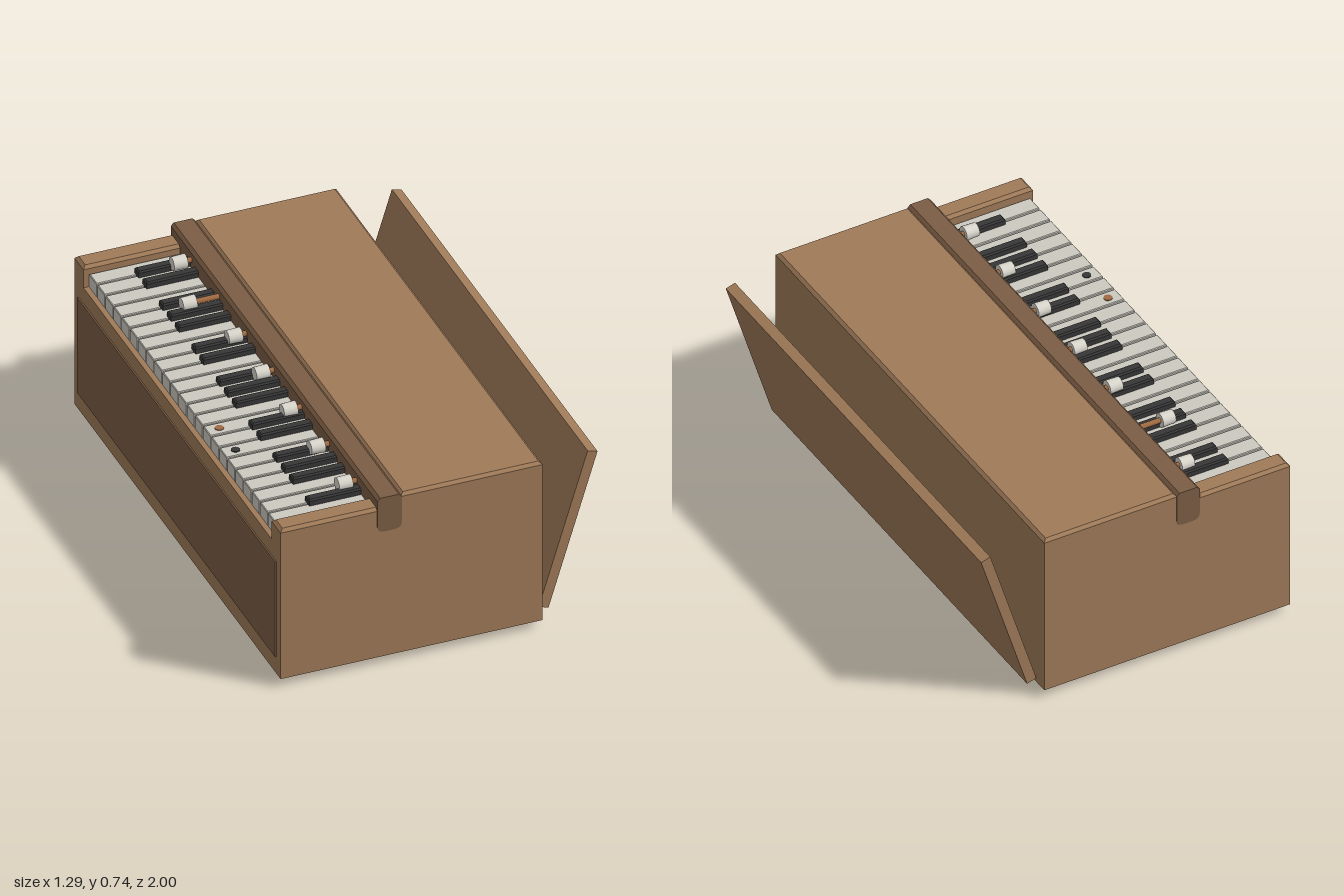
import * as THREE from 'three';

const paint = (name, color) => {
  const m = new THREE.MeshStandardMaterial({ color });
  m.name = name;
  return m;
};

export function createModel() {
  const wood = paint('wood', 0x9f7a58);
  const darkWood = paint('dark wood', 0x7b5d44);
  const ivory = paint('ivory', 0xcbc9bf);
  const ebony = paint('ebony', 0x363636);
  const knobWhite = paint('knob white', 0xd8d5cc);
  const copper = paint('copper', 0xa06a42);

  const model = new THREE.Group();
  model.name = 'portableOrgan';

  const add = (name, geometry, material, parent = model) => {
    const mesh = new THREE.Mesh(geometry, material);
    mesh.name = name;
    parent.add(mesh);
    return mesh;
  };
  const group = (name) => {
    const g = new THREE.Group();
    g.name = name;
    model.add(g);
    return g;
  };

  // Box given by its limits; the top edges are chamfered by c
  const block = (x0, x1, y0, y1, z0, z1, c = 0) => {
    const w = x1 - x0, h = y1 - y0, d = z1 - z0;
    let g = new THREE.BoxGeometry(w, h, d, 1, c ? 2 : 1, 1);
    if (c) {
      const p = g.attributes.position;
      for (let i = 0; i < p.count; i++) {
        if (Math.abs(p.getY(i)) < 1e-6) p.setY(i, h / 2 - c);
        else if (p.getY(i) > 0) {
          p.setX(i, Math.sign(p.getX(i)) * (w / 2 - c));
          p.setZ(i, Math.sign(p.getZ(i)) * (d / 2 - c));
        }
      }
      g = g.toNonIndexed();
      g.computeVertexNormals();
    }
    return g.translate((x0 + x1) / 2, (y0 + y1) / 2, (z0 + z1) / 2);
  };

  // Case: lower body, raised rear top, cheeks beside the keys
  const bed = 0.6;
  add('caseBody', block(-0.64, 0.405, 0.035, bed, -1, 1), wood);
  add('caseTop', block(-0.16, 0.405, bed, 0.733, -1, 1, 0.012), wood);
  for (const s of [-1, 1]) {
    const z = [s * 0.913, s].sort((a, b) => a - b);
    add('cheek', block(-0.64, -0.24, bed, 0.691, z[0], z[1], 0.012), wood);
  }
  add('facePanel', block(-0.646, -0.638, 0.11, 0.53, -0.96, 0.96), darkWood);

  // Cross rail behind the keys, rounded below and chamfered above
  const rail = new THREE.Shape();
  rail.moveTo(-0.225, 0.585);
  rail.lineTo(-0.187, 0.585);
  rail.quadraticCurveTo(-0.157, 0.585, -0.157, 0.612);
  rail.lineTo(-0.157, 0.723);
  rail.lineTo(-0.169, 0.735);
  rail.lineTo(-0.243, 0.735);
  rail.lineTo(-0.255, 0.723);
  rail.lineTo(-0.255, 0.612);
  rail.quadraticCurveTo(-0.255, 0.585, -0.225, 0.585);
  add('crossRail', new THREE.ExtrudeGeometry(rail, {
    depth: 2.004, bevelEnabled: false, curveSegments: 5,
  }).translate(0, 0, -1.002), darkWood);

  // Removed lid leaning away from the case
  const lid = add('leaningLid', new THREE.BoxGeometry(0.041, 0.67, 1.9), wood);
  lid.position.set(0.5275, 0.375, 0);
  lid.rotation.z = -0.296;

  // Keyboard: 23 naturals, with sharps in groups of two and three
  const keys = group('keyboard');
  const count = 23, start = -0.91, pitch = 1.815 / count;
  for (let i = 0; i < count; i++) {
    const z = start + i * pitch;
    add('whiteKey', block(-0.62, -0.25, bed + 0.003, 0.66, z + 0.004, z + pitch - 0.004, 0.003), ivory, keys);
    if (i % 7 !== 0 && i % 7 !== 3) {
      add('blackKey', block(-0.462, -0.25, 0.64, 0.686, z - 0.02, z + 0.02, 0.006), ebony, keys);
    }
  }

  // Marker dots on two naturals
  for (const [i, material] of [[14, copper], [16, ebony]]) {
    const dot = add('keyMarker', new THREE.CylinderGeometry(0.017, 0.017, 0.004, 16), material, keys);
    dot.position.set(-0.57, 0.661, start + (i + 0.5) * pitch);
  }

  // Stop knobs on short stems; the second is pulled out
  const stops = group('stopKnobs');
  for (let i = 0; i < 7; i++) {
    const z = -0.805 + i * 0.267;
    const out = i === 1 ? 0.072 : 0;
    const stem = add('stopStem', new THREE.CylinderGeometry(0.011, 0.011, 0.06 + out, 12)
      .rotateZ(Math.PI / 2), copper, stops);
    stem.position.set(-0.265 - out / 2, 0.694, z);
    const knob = add('stopKnob', new THREE.CylinderGeometry(0.027, 0.029, 0.055, 16)
      .rotateZ(Math.PI / 2), knobWhite, stops);
    knob.position.set(-0.305 - out, 0.694, z);
  }

  // Feet
  for (const x of [-0.533, 0.3]) {
    for (const z of [-0.897, 0.897]) {
      add('foot', block(x - 0.054, x + 0.054, 0, 0.04, z - 0.052, z + 0.052), ebony);
    }
  }

  return model;
}
